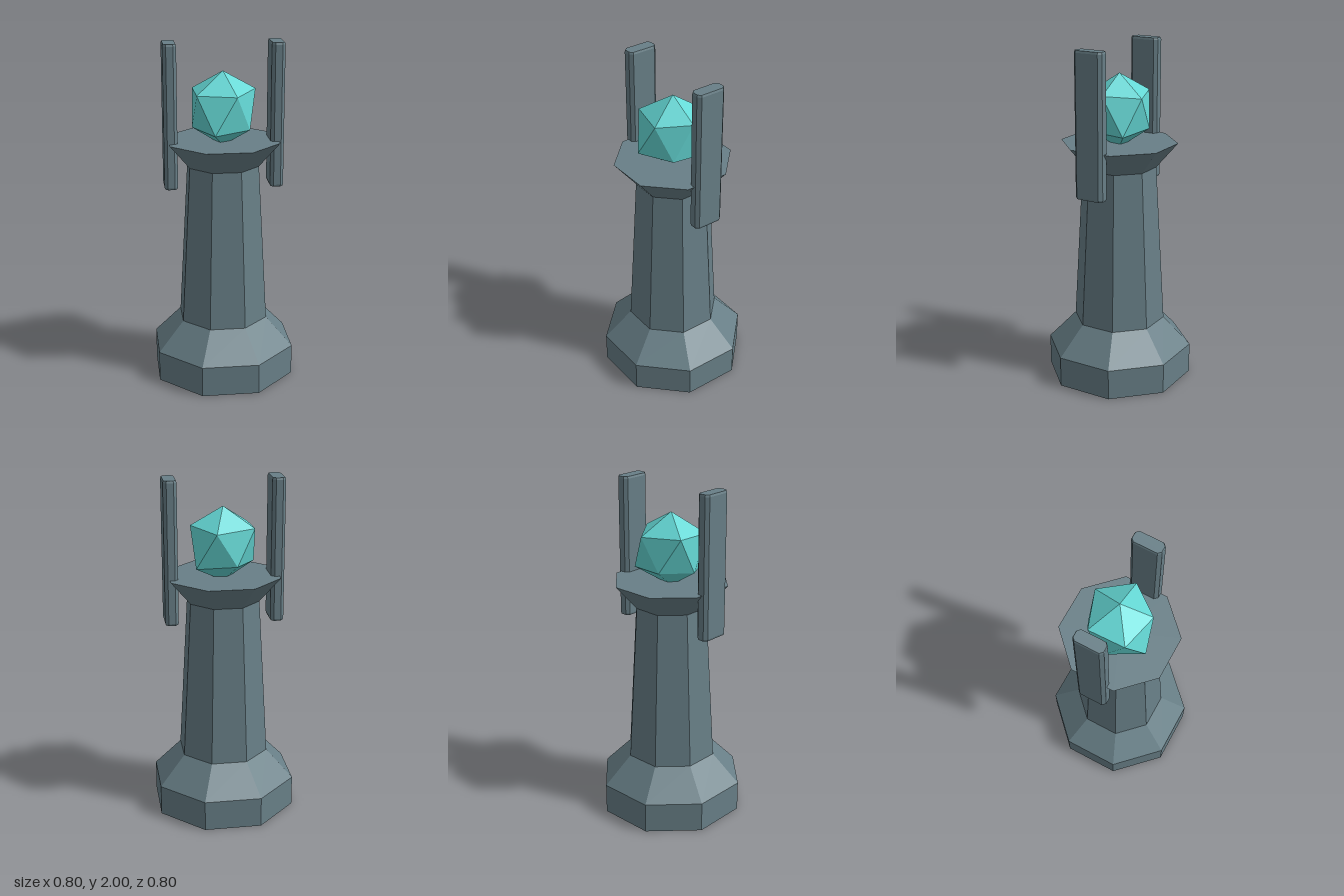
import * as THREE from 'three';

const stone = new THREE.MeshStandardMaterial({ color: 0x687f87, flatShading: true });
stone.name = 'slate stone';
const crystalMat = new THREE.MeshStandardMaterial({ color: 0x64d8d5, flatShading: true });
crystalMat.name = 'turquoise crystal';

// Eight-sided section, sized by the distance from axis to flat side
function octagon(name, y0, y1, flat0, flat1, open) {
  const k = 1 / Math.cos(Math.PI / 8);
  const geo = new THREE.CylinderGeometry(flat1 * k, flat0 * k, y1 - y0, 8, 1, open, Math.PI / 8);
  const mesh = new THREE.Mesh(geo, stone);
  mesh.name = name;
  mesh.position.y = (y0 + y1) / 2;
  return mesh;
}

// Upright slab with chamfered corners and a fine bevel at both ends
function slabGeometry(w, d, y0, y1) {
  const bevel = 0.004, rise = 0.012, c = 0.016;
  const x = w / 2 - bevel, z = d / 2 - bevel;
  const shape = new THREE.Shape([
    [x, -z + c], [x, z - c], [x - c, z], [-x + c, z],
    [-x, z - c], [-x, -z + c], [-x + c, -z], [x - c, -z],
  ].map(([a, b]) => new THREE.Vector2(a, b)));
  const geo = new THREE.ExtrudeGeometry(shape, {
    depth: y1 - y0 - 2 * rise, bevelEnabled: true,
    bevelSize: bevel, bevelThickness: rise, bevelSegments: 1,
  });
  return geo.rotateX(-Math.PI / 2).translate(0, y0 + rise, 0);
}

// Slightly uneven twenty-sided gem: top, upper ring, lower ring, bottom
function crystalGeometry() {
  const points = [
    [0, 1.835, 0],
    [0.188, 1.73, 0], [0.06, 1.712, -0.182], [-0.167, 1.722, -0.101], [-0.16, 1.716, 0.117], [0.063, 1.712, 0.168],
    [0.17, 1.505, -0.124], [-0.058, 1.52, -0.166], [-0.178, 1.512, 0], [-0.065, 1.5, 0.194], [0.144, 1.51, 0.101],
    [0, 1.4, 0],
  ];
  const faces = [];
  for (let i = 0; i < 5; i++) {
    const j = (i + 1) % 5;
    const u = 1 + i, un = 1 + j, l = 6 + i, ln = 6 + j;
    faces.push(0, u, un, u, l, un, l, ln, un, 11, ln, l);
  }
  const geo = new THREE.BufferGeometry();
  geo.setAttribute('position', new THREE.Float32BufferAttribute(points.flat(), 3));
  geo.setIndex(faces);
  const flat = geo.toNonIndexed();
  flat.computeVertexNormals();
  return flat;
}

export function createModel() {
  const model = new THREE.Group();
  model.name = 'crystalTower';

  // Tower from the ground up
  model.add(
    octagon('plinth', 0, 0.18, 0.4, 0.4, false),
    octagon('slopedFoot', 0.18, 0.35, 0.4, 0.25, true),
    octagon('shaft', 0.35, 1.29, 0.25, 0.2, true),
    octagon('flaredPlatform', 1.29, 1.435, 0.2, 0.315, false),
  );

  // Upright slabs on both sides of the platform
  const slab = slabGeometry(0.077, 0.178, 1.165, 2);
  for (const side of [1, -1]) {
    const mesh = new THREE.Mesh(slab, stone);
    mesh.name = side > 0 ? 'leftSlab' : 'rightSlab';
    mesh.position.x = side * 0.306;
    model.add(mesh);
  }

  // Gem resting on the platform
  const crystal = new THREE.Mesh(crystalGeometry(), crystalMat);
  crystal.name = 'crystal';
  model.add(crystal);

  return model;
}
